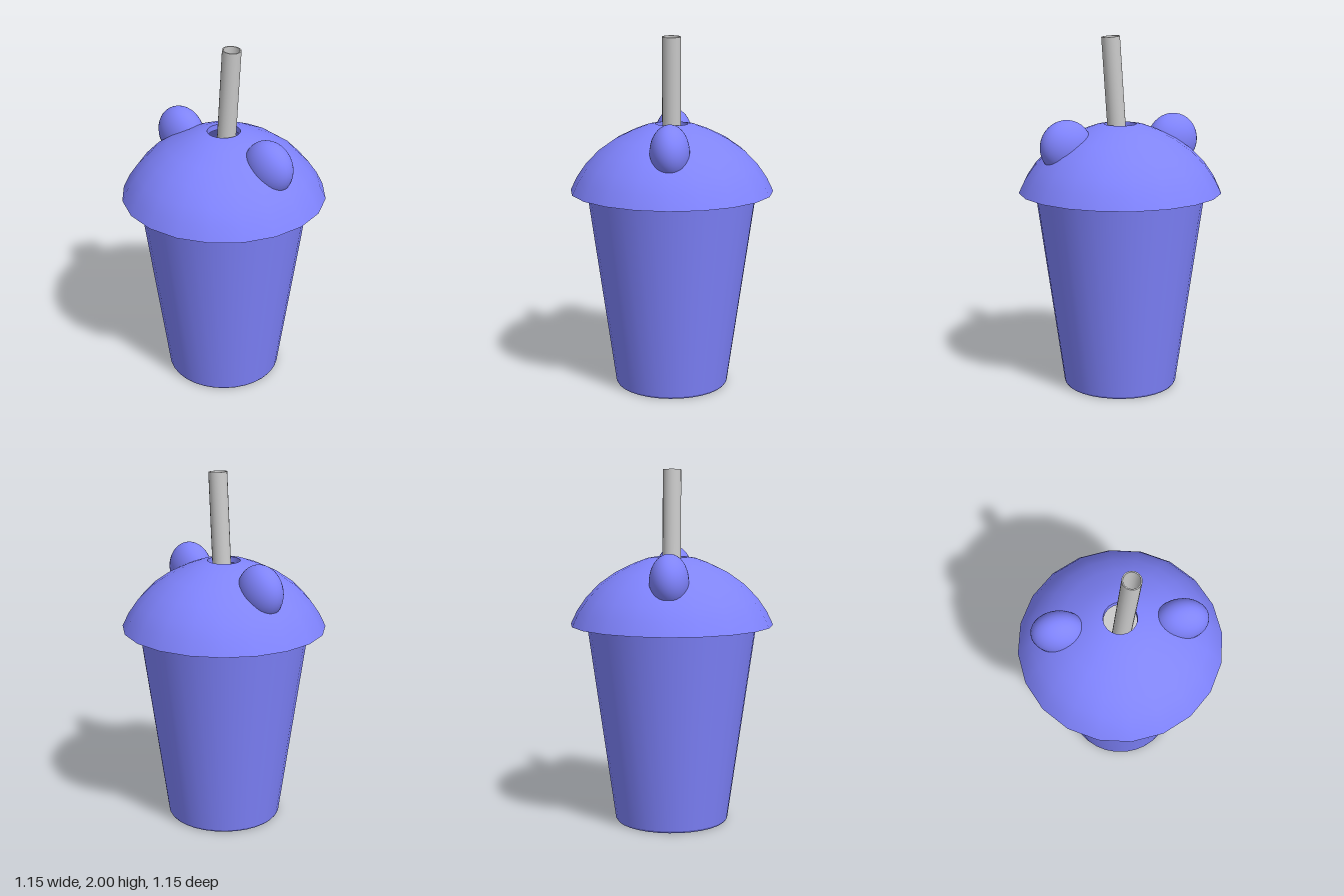
import * as THREE from 'three';

const blue = new THREE.MeshStandardMaterial({ color: 0x8084ff });
const grey = new THREE.MeshStandardMaterial({ color: 0xcccccc });

// Turned part made of profile runs [[r, y], ...]; edges stay sharp between runs.
function turned(name, material, sides, runs) {
  const group = new THREE.Group();
  group.name = name;
  runs.forEach((run, i) => {
    const points = run.map(([r, y]) => new THREE.Vector2(r, y));
    const mesh = new THREE.Mesh(new THREE.LatheGeometry(points, sides), material);
    mesh.name = `${name}Surface${i + 1}`;
    group.add(mesh);
  });
  return group;
}

export function createModel() {
  const model = new THREE.Group();
  model.name = 'drinkCup';

  // Tapered cup with a small bevel at the foot and a hollow inside
  model.add(turned('cup', blue, 32, [
    [[0, 0], [0.315, 0]],
    [[0.315, 0], [0.323, 0.012]],
    [[0.323, 0.012], [0.489, 1.2]],
    [[0.489, 1.2], [0.469, 1.2]],
    [[0.469, 1.2], [0.303, 0.02]],
    [[0.303, 0.02], [0, 0.02]],
  ]));

  // Drink surface inside the cup
  const drink = new THREE.Mesh(new THREE.CircleGeometry(0.452, 32), grey);
  drink.name = 'drink';
  drink.rotation.x = -Math.PI / 2;
  drink.position.y = 1.06;
  model.add(drink);

  // Domed lid: a thick shell with a straw hole
  const dome = [
    [0.573, 1.13], [0.537, 1.205], [0.485, 1.28], [0.41, 1.358],
    [0.315, 1.425], [0.21, 1.476], [0.14, 1.502], [0.092, 1.51],
  ];
  const inner = [
    [0.09, 1.478], [0.14, 1.47], [0.2, 1.446], [0.3, 1.394],
    [0.385, 1.332], [0.455, 1.26], [0.503, 1.195], [0.535, 1.13],
  ];
  model.add(turned('lid', blue, 20, [
    dome,
    [dome[dome.length - 1], inner[0]],
    inner,
    [inner[inner.length - 1], dome[0]],
  ]));

  // Flattened round ears at front and back of the lid
  for (const [name, z] of [['frontEar', 0.331], ['backEar', -0.334]]) {
    const ear = new THREE.Mesh(new THREE.SphereGeometry(1, 32, 20), blue);
    ear.name = name;
    ear.scale.set(0.108, 0.15, 0.15);
    ear.position.set(0, 1.4, z);
    model.add(ear);
  }

  // Hollow straw leaning forward
  const length = 1.6;
  const straw = turned('straw', grey, 20, [
    [[0.052, -length], [0.052, 0]],
    [[0.052, 0], [0.045, 0]],
    [[0.045, 0], [0.045, -length]],
    [[0.045, -length], [0.052, -length]],
  ]);
  straw.position.set(0, 1.996, 0.058);
  straw.rotation.x = 0.072;
  model.add(straw);

  return model;
}
